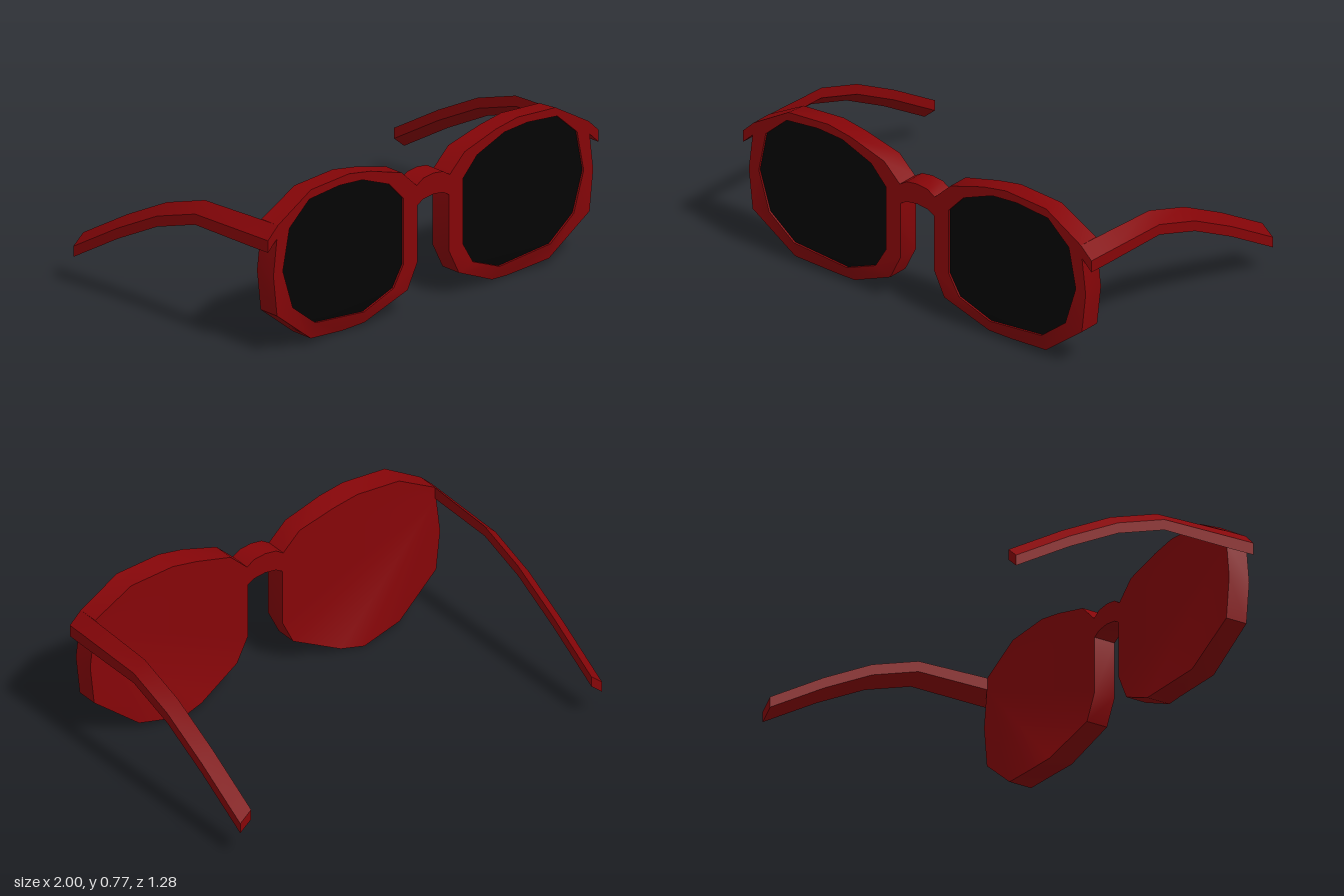
import * as THREE from 'three';
import { toCreasedNormals } from 'three/addons/utils/BufferGeometryUtils.js';

const frameMat = new THREE.MeshStandardMaterial({ color: 0x850508 });
const lensMat = new THREE.MeshStandardMaterial({ color: 0x030303 });

const FRONT = 0.64, BACK = 0.532, RECESS = 0.01, CREASE = 0.6;
const toPoints = (list) => list.map(([x, y]) => new THREE.Vector2(x, y));

// Left rim outline and lens opening, counter-clockwise seen from the front
const outline = toPoints([
  [0.1, 0.605], [0.095, 0.51], [0.095, 0.24], [0.155, 0.12], [0.385, 0.017], [0.5, 0],
  [0.72, 0.032], [0.945, 0.205], [0.967, 0.4], [0.945, 0.58], [0.94, 0.637],
  [0.74, 0.755], [0.51, 0.77], [0.38, 0.748], [0.19, 0.69],
]);
const opening = toPoints([
  [0.18, 0.565], [0.18, 0.25], [0.24, 0.15], [0.41, 0.08], [0.71, 0.11], [0.85, 0.22],
  [0.91, 0.41], [0.87, 0.605], [0.75, 0.712], [0.57, 0.73], [0.43, 0.72], [0.265, 0.655],
]);
// Opening corner that each outline corner joins, and the hinge corner of the outline
const joins = [0, 0, 1, 2, 3, 3, 4, 5, 6, 7, 7, 8, 9, 10, 11];
const HINGE = 9;

// The lowest part of the rim curls backwards, the top tapers slightly
const lean = (y) => Math.max(0, (0.12 - y) / 0.12);
const frontAt = ({ x, y }, inset = 0) => [x, y, FRONT - 0.028 * lean(y) - 0.03 * lean(y) ** 8 - inset];
const backAt = ({ x, y }) => [x, y > 0.7 ? y - 0.01 : y, BACK - 0.034 * lean(y) - 0.032 * lean(y) ** 5];

function creasedMesh(name, geometry, material) {
  const m = new THREE.Mesh(toCreasedNormals(geometry, CREASE), material);
  m.name = name;
  return m;
}

// Collects triangles; side -1 mirrors them and keeps them facing outwards
function collector(side) {
  const pos = [];
  const tri = (a, b, c) => {
    for (const p of side > 0 ? [a, b, c] : [a, c, b]) pos.push(p[0] * side, p[1], p[2]);
  };
  return {
    tri,
    quad: (a, b, c, d) => { tri(a, b, c); tri(a, c, d); },
    mesh(name, material) {
      const g = new THREE.BufferGeometry();
      g.setAttribute('position', new THREE.Float32BufferAttribute(pos, 3));
      return creasedMesh(name, g, material);
    },
  };
}

function rim(side) {
  const c = collector(side);
  outline.forEach((p, i) => {
    const j = (i + 1) % outline.length, q = outline[j];
    const inner = opening[joins[i]], next = opening[joins[j]];
    // Front ring and outer wall
    c.tri(frontAt(p), frontAt(q), frontAt(next));
    if (inner !== next) c.tri(frontAt(p), frontAt(next), frontAt(inner));
    c.quad(frontAt(p), backAt(p), backAt(q), frontAt(q));
    // Closed back panel, fanned from the hinge corner
    if (i !== HINGE && j !== HINGE) c.tri(backAt(outline[HINGE]), backAt(q), backAt(p));
  });
  // Small step down to the lens
  opening.forEach((p, i) => {
    const q = opening[(i + 1) % opening.length];
    c.quad(frontAt(p), frontAt(q), frontAt(q, RECESS), frontAt(p, RECESS));
  });
  return c.mesh('rim', frameMat);
}

function lens(side) {
  const c = collector(side);
  for (const t of THREE.ShapeUtils.triangulateShape(opening, []))
    c.tri(...t.map((i) => frontAt(opening[i], RECESS)));
  return c.mesh('lens', lensMat);
}

// Temple arm: a slanted section swept along [z, top edge height, section height]
function temple(side) {
  const c = collector(side);
  const path = [
    [FRONT, 0.637, 0.115], [BACK, 0.635, 0.115], [0.16, 0.62, 0.102],
    [-0.09, 0.538, 0.102], [-0.35, 0.405, 0.102], [-0.64, 0.235, 0.102],
  ];
  const rings = path.map(([z, top, h]) =>
    [[0.94, top, z], [0.94, top - h / 2, z], [1, top - h, z], [1, top - h / 2, z]]);
  for (let i = 0; i < rings.length - 1; i++) {
    const a = rings[i], b = rings[i + 1];
    for (let k = 0; k < 4; k++) {
      const n = (k + 1) % 4;
      c.quad(a[k], b[k], b[n], a[n]);
    }
  }
  c.quad(...rings[0]);
  c.quad(...rings[rings.length - 1].slice().reverse());
  return c.mesh('temple', frameMat);
}

// Arched bridge between the rims
function bridge() {
  const shape = new THREE.Shape(toPoints([
    [-0.1, 0.605], [-0.095, 0.51], [-0.06, 0.53], [0, 0.538], [0.06, 0.53], [0.095, 0.51],
    [0.1, 0.605], [0.06, 0.63], [0, 0.638], [-0.06, 0.63],
  ]));
  const g = new THREE.ExtrudeGeometry(shape, { depth: FRONT - BACK, bevelEnabled: false });
  g.translate(0, 0, BACK);
  return creasedMesh('bridge', g, frameMat);
}

export function createModel() {
  const model = new THREE.Group();
  model.name = 'sunglasses';
  for (const side of [1, -1]) {
    const half = new THREE.Group();
    half.name = side > 0 ? 'leftSide' : 'rightSide';
    half.add(rim(side), lens(side), temple(side));
    model.add(half);
  }
  model.add(bridge());
  return model;
}
